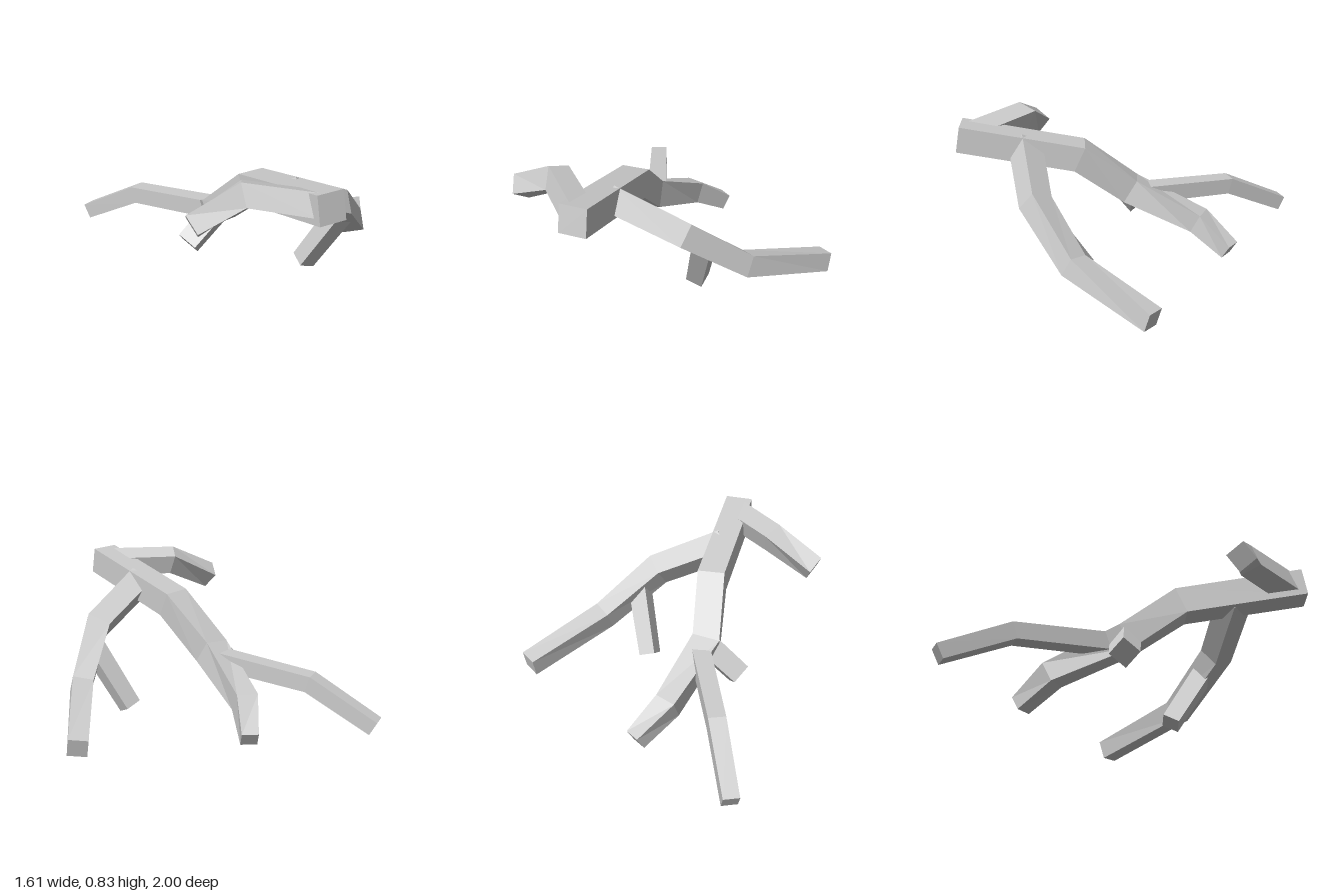
import * as THREE from 'three';

const V = (a) => new THREE.Vector3(...a);

// Square-section limb swept through stations [x, y, z, size, upHint] with mitred joints.
function limb(name, material, stations) {
  const pts = stations.map((s) => V(s));
  const last = pts.length - 1;
  const dirs = pts.slice(1).map((p, i) => p.clone().sub(pts[i]).normalize());
  const positions = [];
  const index = [];
  const quad = (a, b, c, d) => index.push(a, b, c, a, c, d);

  stations.forEach(([, , , size, hint = [0, 1, 0]], i) => {
    const along = dirs[Math.max(i - 1, 0)];
    const plane = along.clone().add(dirs[Math.min(i, last - 1)]).normalize();
    const side = V(hint).cross(along).normalize();
    const up = along.clone().cross(side);
    for (const [a, b] of [[-1, -1], [1, -1], [1, 1], [-1, 1]]) {
      const off = side.clone().multiplyScalar(a * size / 2).addScaledVector(up, b * size / 2);
      off.addScaledVector(along, -off.dot(plane) / along.dot(plane));
      positions.push(...off.add(pts[i]).toArray());
    }
    if (i === 0) return;
    const p = 4 * (i - 1), q = 4 * i;
    for (let k = 0; k < 4; k++) {
      const n = (k + 1) % 4;
      quad(p + k, p + n, q + n, q + k);
    }
  });
  // End caps
  quad(3, 2, 1, 0);
  quad(4 * last, 4 * last + 1, 4 * last + 2, 4 * last + 3);

  const geometry = new THREE.BufferGeometry();
  geometry.setAttribute('position', new THREE.Float32BufferAttribute(positions, 3));
  geometry.setIndex(index);
  geometry.computeVertexNormals();
  const mesh = new THREE.Mesh(geometry, material);
  mesh.name = name;
  return mesh;
}

export function createModel() {
  const group = new THREE.Group();
  group.name = 'branch';
  const wood = new THREE.MeshStandardMaterial({ color: 0xcccccc, flatShading: true });

  // Main stem, from the thick front end to the thin rear tip
  group.add(limb('mainStem', wood, [
    [-0.155, 0.73, 0.985, 0.16],
    [-0.22, 0.605, 0.275, 0.158],
    [-0.295, 0.365, -0.025, 0.155],
    [-0.22, 0.2, -0.45, 0.125],
    [-0.105, 0.068, -0.643, 0.095],
  ]));

  // Long side branch on the left
  const leftUp = [0.02, 0.11, -0.085];
  group.add(limb('leftBranch', wood, [
    [-0.188, 0.665, 0.595, 0.145, leftUp],
    [0.2, 0.48, 0.475, 0.138, leftUp],
    [0.46, 0.23, 0.225, 0.122, [0.02, 0.11, -0.07]],
    [0.757, 0.088, -0.24, 0.112, [0.005, 0.11, -0.03]],
  ]));

  // Twig hanging below the left branch
  const twigUp = [0, 0.03, -0.085];
  group.add(limb('leftTwig', wood, [
    [0.288, 0.39, 0.385, 0.11, twigUp],
    [0.147, 0.033, 0.197, 0.1, twigUp],
  ]));

  // Short side branch on the right
  group.add(limb('rightBranch', wood, [
    [-0.165, 0.72, 0.91, 0.13, [-0.01, 0.11, -0.05]],
    [-0.47, 0.745, 0.655, 0.124, [-0.01, 0.11, -0.05]],
    [-0.745, 0.61, 0.62, 0.115, [-0.03, 0.09, -0.07]],
  ]));

  // Long slim branch at the rear
  group.add(limb('rearBranch', wood, [
    [-0.285, 0.345, -0.1, 0.105],
    [-0.56, 0.3, -0.615, 0.098],
    [-0.757, 0.1, -0.955, 0.09],
  ]));

  // Stub beside the rear fork
  const stubUp = [-0.06, 0.063, -0.09];
  group.add(limb('rearStub', wood, [
    [-0.3, 0.36, -0.03, 0.125, stubUp],
    [-0.495, 0.195, -0.015, 0.12, stubUp],
  ]));

  return group;
}
